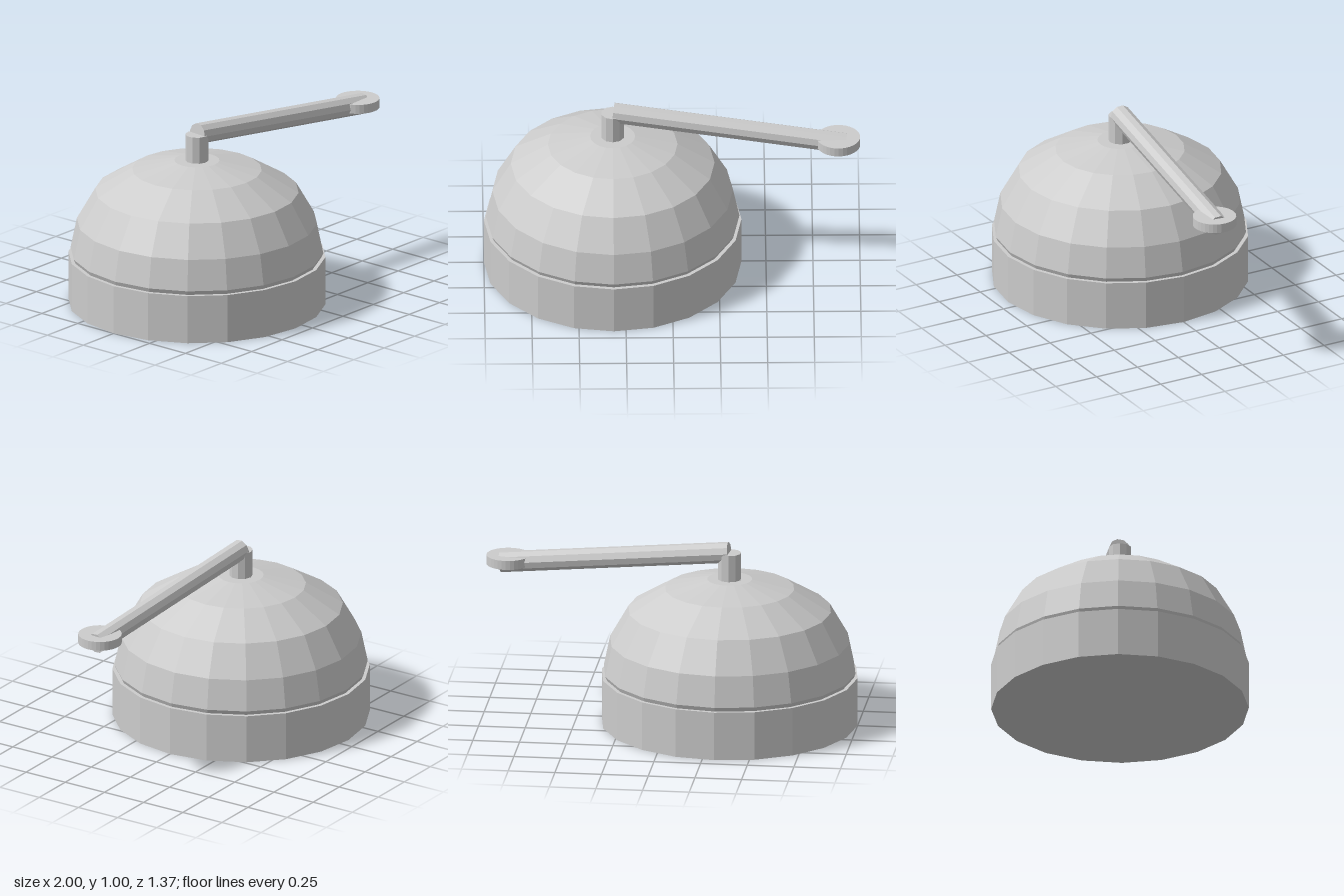
import * as THREE from 'three';

const AXIS_X = -0.315; // vertical axis of the bell

export function createModel() {
  const model = new THREE.Group();
  model.name = 'hatBellWithArm';
  const grey = new THREE.MeshStandardMaterial({ color: 0xcccccc });
  grey.name = 'light grey';
  grey.flatShading = true;

  const add = (name, geometry, x, y, z) => {
    const mesh = new THREE.Mesh(geometry, grey);
    mesh.name = name;
    mesh.position.set(x, y, z);
    model.add(mesh);
    return mesh;
  };

  // Drum-shaped base
  add('base', new THREE.CylinderGeometry(0.685, 0.685, 0.265, 20), AXIS_X, 0.1325, 0);

  // Faceted dome with a flat crown, tucked just inside the base rim
  const profile = [
    [0.66, 0.255], [0.674, 0.288], [0.64, 0.453], [0.542, 0.624],
    [0.345, 0.743], [0.12, 0.794], [0, 0.794],
  ].map(([r, y]) => new THREE.Vector2(r, y));
  add('dome', new THREE.LatheGeometry(profile, 20), AXIS_X, 0, 0);

  // Short upright post on the crown
  add('post', new THREE.CylinderGeometry(0.062, 0.062, 0.16, 10), AXIS_X, 0.86, 0);

  // Sloping arm from the post out to the end disc
  const start = new THREE.Vector3(-0.312, 0.942, 0);
  const end = new THREE.Vector3(0.924, 0.808, 0.104);
  const along = end.clone().sub(start);
  const middle = start.clone().add(end).multiplyScalar(0.5);
  const arm = add('arm', new THREE.CylinderGeometry(0.056, 0.056, along.length(), 10),
    middle.x, middle.y, middle.z);
  arm.quaternion.setFromUnitVectors(new THREE.Vector3(0, 1, 0), along.normalize());

  // Flat disc at the arm's tip
  add('endDisc', new THREE.CylinderGeometry(0.116, 0.116, 0.05, 32), 0.884, 0.825, 0.105);

  return model;
}
